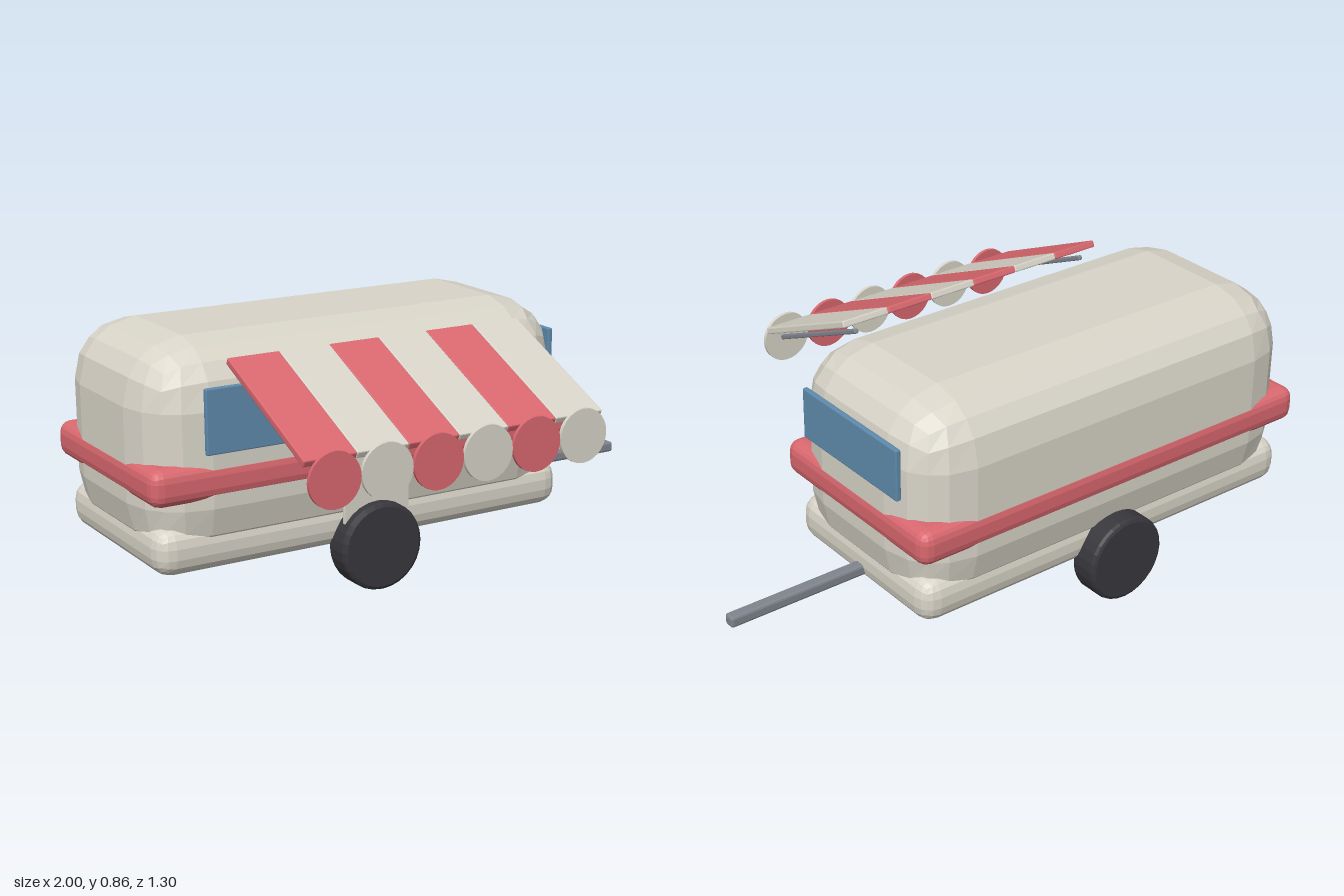
import * as THREE from 'three';
import { RoundedBoxGeometry } from 'three/addons/geometries/RoundedBoxGeometry.js';

const mat = (name, color) => {
  const m = new THREE.MeshStandardMaterial({ color });
  m.name = name;
  return m;
};

export function createModel() {
  const cream = mat('cream', 0xd8d4c8);
  const red = mat('coral red', 0xd9686f);
  const blue = mat('window blue', 0x5f8bad);
  const steel = mat('steel grey', 0x80848d);
  const rubber = mat('tyre black', 0x38373c);

  const group = new THREE.Group();
  group.name = 'foodTrailer';
  const CX = -0.2275, CZ = -0.23; // trailer centre

  const add = (name, geometry, material, x, y, z) => {
    const mesh = new THREE.Mesh(geometry, material);
    mesh.name = name;
    mesh.position.set(x, y, z);
    group.add(mesh);
    return mesh;
  };
  // faceted box with rounded edges
  const softBox = (w, h, d, segments, radius) => {
    const g = new RoundedBoxGeometry(w, h, d, segments, radius);
    g.computeVertexNormals();
    return g;
  };

  // shell, belt line and lower skirt
  add('body', softBox(1.535, 0.705, 0.73, 2, 0.2), cream, CX, 0.5075, CZ);
  add('belt', softBox(1.545, 0.12, 0.74, 2, 0.04), red, CX, 0.44, CZ);
  add('skirt', softBox(1.495, 0.155, 0.69, 2, 0.06), cream, CX, 0.2225, CZ);

  // tow bar
  add('towBar', softBox(0.52, 0.037, 0.04, 1, 0.008), steel, 0.74, 0.194, CZ);

  // windows and door
  for (const x of [-0.648, 0.195])
    add('sideWindow', softBox(0.345, 0.207, 0.018, 1, 0.004), blue, x, 0.6335, 0.14);
  add('endWindow', softBox(0.018, 0.172, 0.49, 1, 0.004), blue, 0.541, 0.65, CZ);
  add('door', softBox(0.24, 0.53, 0.014, 1, 0.003), cream, CX, 0.495, 0.142);

  // wheels with bevelled shoulders
  const wheelProfile = [[0, -0.051], [0.133, -0.051], [0.142, -0.046], [0.146, -0.036],
    [0.146, 0.036], [0.142, 0.046], [0.133, 0.051], [0, 0.051]]
    .map(([r, y]) => new THREE.Vector2(r, y));
  const wheelGeometry = new THREE.LatheGeometry(wheelProfile, 28).toNonIndexed();
  wheelGeometry.computeVertexNormals();
  wheelGeometry.rotateX(Math.PI / 2);
  for (const z of [0.137, -0.597])
    add('wheel', wheelGeometry, rubber, CX, 0.146, z);

  // striped awning with a hanging round scallop on each slat
  const slope = Math.atan2(0.205, 0.46);
  const step = 0.175;
  const slatGeometry = softBox(step, 0.023, 0.506, 1, 0.004);
  const scallopGeometry = new THREE.CylinderGeometry(0.0865, 0.0865, 0.012, 28);
  scallopGeometry.rotateX(Math.PI / 2);
  for (let i = 0; i < 6; i++) {
    const x = -0.667 + i * step;
    const color = i % 2 ? cream : red;
    add('awningSlat', slatGeometry, color, x, 0.716, 0.391).rotation.x = slope;
    add('awningScallop', scallopGeometry, color, x, 0.56, 0.644);
  }

  // awning support arms
  for (const x of [-0.7, 0.24])
    add('awningArm', softBox(0.016, 0.016, 0.49, 1, 0.004), steel, x, 0.678, 0.39).rotation.x = slope;

  return group;
}
